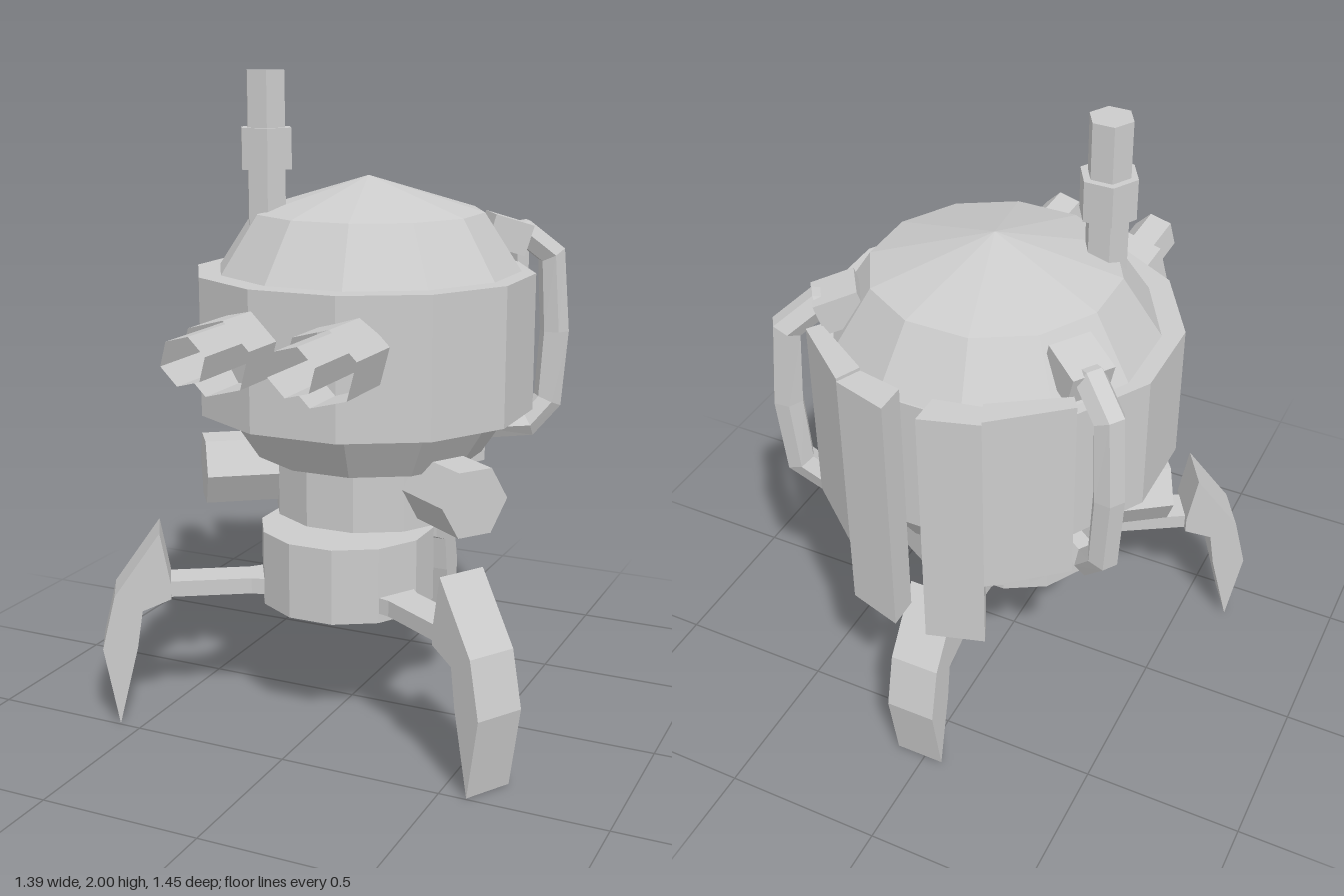
import * as THREE from 'three';

const material = new THREE.MeshStandardMaterial({ color: 0xcccccc, flatShading: true });
const openMaterial = new THREE.MeshStandardMaterial({ color: 0xcccccc, flatShading: true, side: THREE.DoubleSide });

// Curve through straight segments, one step per corner
class Polyline extends THREE.Curve {
  constructor(points) {
    super();
    this.points = points;
  }
  getPoint(t, target = new THREE.Vector3()) {
    const last = this.points.length - 1;
    const i = Math.min(Math.floor(t * last + 1e-6), last - 1);
    return target.lerpVectors(this.points[i], this.points[i + 1], t * last - i);
  }
  getPointAt(u, target) {
    return this.getPoint(u, target);
  }
  getTangentAt(u, target = new THREE.Vector3()) {
    const p = this.points, i = Math.round(u * (p.length - 1));
    target.set(0, 0, 0);
    if (i > 0) target.add(p[i].clone().sub(p[i - 1]).normalize());
    if (i < p.length - 1) target.add(p[i + 1].clone().sub(p[i]).normalize());
    return target.normalize();
  }
}

function add(parent, name, geometry, x = 0, y = 0, z = 0, mat = material) {
  const mesh = new THREE.Mesh(geometry, mat);
  mesh.name = name;
  mesh.position.set(x, y, z);
  parent.add(mesh);
  return mesh;
}

// Twelve-sided section with flat faces to the front; radii measured to the flats
function drum(parent, name, x, z, y0, y1, bottom, top) {
  const k = 1 / Math.cos(Math.PI / 12);
  const geometry = new THREE.CylinderGeometry(top * k, bottom * k, y1 - y0, 12).rotateY(Math.PI / 12);
  return add(parent, name, geometry, x, (y0 + y1) / 2, z);
}

function extrude(points, depth) {
  const shape = new THREE.Shape(points.map(([x, y]) => new THREE.Vector2(x, y)));
  return new THREE.ExtrudeGeometry(shape, { depth, bevelEnabled: false });
}

export function createModel() {
  const model = new THREE.Group();
  model.name = 'walkingTurret';

  // Base, neck and domed body
  drum(model, 'base', 0.008, 0.055, 0.375, 0.61, 0.265, 0.265);
  drum(model, 'neck', -0.01, -0.15, 0.605, 0.83, 0.295, 0.295);
  drum(model, 'lowerBody', -0.012, -0.15, 0.805, 0.97, 0.355, 0.46);
  drum(model, 'bodyBand', -0.012, -0.115, 0.96, 1.39, 0.52, 0.52).scale.z = 0.972;
  drum(model, 'dome', -0.012, -0.15, 1.39, 1.57, 0.465, 0.352);
  drum(model, 'domeCap', -0.012, -0.15, 1.57, 1.68, 0.352, 0);

  // Three legs: a flat arm ending in a pointed blade
  const blade = [[0.575, 0.62], [0.715, 0.42], [0.755, 0.25], [0.71, 0], [0.65, 0.25],
    [0.632, 0.37], [0.545, 0.405], [0.545, 0.455]];
  const arm = [[0.15, -0.1], [0.3, -0.055], [0.57, -0.055], [0.57, 0.055], [0.3, 0.055], [0.15, 0.1]];
  [['leftLeg', -31.5, 1.02], ['rightLeg', 211.5, 1.02], ['backLeg', 90, 1]].forEach(([name, degrees, reach]) => {
    const leg = new THREE.Group();
    leg.name = name;
    leg.position.set(name === 'backLeg' ? 0.018 : 0.005, 0, 0.05);
    leg.rotation.y = THREE.MathUtils.degToRad(degrees);
    leg.scale.x = reach;
    add(leg, 'blade', extrude(blade, 0.155), 0, 0, -0.0775);
    add(leg, 'arm', extrude(arm, 0.05).rotateX(-Math.PI / 2), 0, 0.405, 0);
    model.add(leg);
  });

  // Hexagonal pods angled out from the neck
  for (const side of [1, -1]) {
    const pod = new THREE.Group();
    pod.name = side > 0 ? 'leftPod' : 'rightPod';
    pod.position.set(-0.012, 0.745, -0.09);
    pod.rotation.y = side > 0 ? -0.62 : Math.PI + 0.62;
    const geometry = new THREE.CylinderGeometry(0.117, 0.117, 0.47, 6).rotateZ(-Math.PI / 2);
    add(pod, 'podBarrel', geometry, 0.335, 0, 0.0).position.z = 0.0;
    pod.position.x += side * 0.0;
    pod.position.z = -0.225;
    model.add(pod);
  }

  // Twin open-ended guns
  for (const [name, x] of [['leftGun', 0.157], ['rightGun', -0.172]]) {
    const gun = new THREE.Group();
    gun.name = name;
    gun.position.set(x, 1.215, 0);
    const tube = (r, length) => new THREE.CylinderGeometry(r, r, length, 6, 1, true)
      .rotateY(Math.PI / 4).rotateX(Math.PI / 2);
    add(gun, 'housing', tube(0.116, 0.225), 0, 0, 0.4425, openMaterial);
    add(gun, 'barrel', tube(0.073, 0.33), 0, 0.025, 0.56, openMaterial);
    model.add(gun);
  }

  // Stepped hexagonal antenna
  const antenna = new THREE.Group();
  antenna.name = 'antenna';
  antenna.position.set(-0.27, 0, 0.04);
  for (const [name, r, y0, y1] of [['mast', 0.065, 1.535, 2], ['collar', 0.087, 1.705, 1.83]]) {
    add(antenna, name, new THREE.CylinderGeometry(r, r, y1 - y0, 6).rotateY(Math.PI / 6), 0, (y0 + y1) / 2, 0);
  }
  model.add(antenna);

  // Side handles with clamps on the dome
  const path = [[0.4, 1.47], [0.51, 1.49], [0.6, 1.42], [0.617, 1.17], [0.6, 0.94], [0.53, 0.865], [0.36, 0.865]];
  for (const side of [1, -1]) {
    const handle = new THREE.Group();
    handle.name = side > 0 ? 'leftHandle' : 'rightHandle';
    handle.position.set(-0.012, 0, -0.145);
    handle.rotation.y = side > 0 ? 0.6 : Math.PI - 0.6;
    const curve = new Polyline(path.map(([r, y]) => new THREE.Vector3(r, y, 0)));
    add(handle, 'grip', new THREE.TubeGeometry(curve, path.length - 1, 0.048, 6));
    add(handle, 'clamp', new THREE.BoxGeometry(0.13, 0.1, 0.13), 0.445, 1.49, 0).rotation.z = -0.3;
    model.add(handle);
  }

  // Back armour: each side has a long inner panel and a short outer panel, [offset from middle, distance back]
  const innerPanel = [[0.05, 0.727], [0.217, 0.677], [0.185, 0.605], [0.05, 0.632]];
  const outerPanel = [[0.217, 0.677], [0.413, 0.513], [0.387, 0.473], [0.185, 0.605]];
  for (const side of [1, -1]) {
    const armour = new THREE.Group();
    armour.name = side > 0 ? 'leftBackArmour' : 'rightBackArmour';
    const panel = (name, points, y0, y1) => add(armour, name,
      extrude(points.map(([x, back]) => [side * x, back]), y1 - y0).rotateX(-Math.PI / 2), -0.015, y0, 0);
    panel('innerPanel', innerPanel, 0.65, 1.445);
    panel('outerPanel', outerPanel, 0.87, 1.455);
    model.add(armour);
  }
  return model;
}
